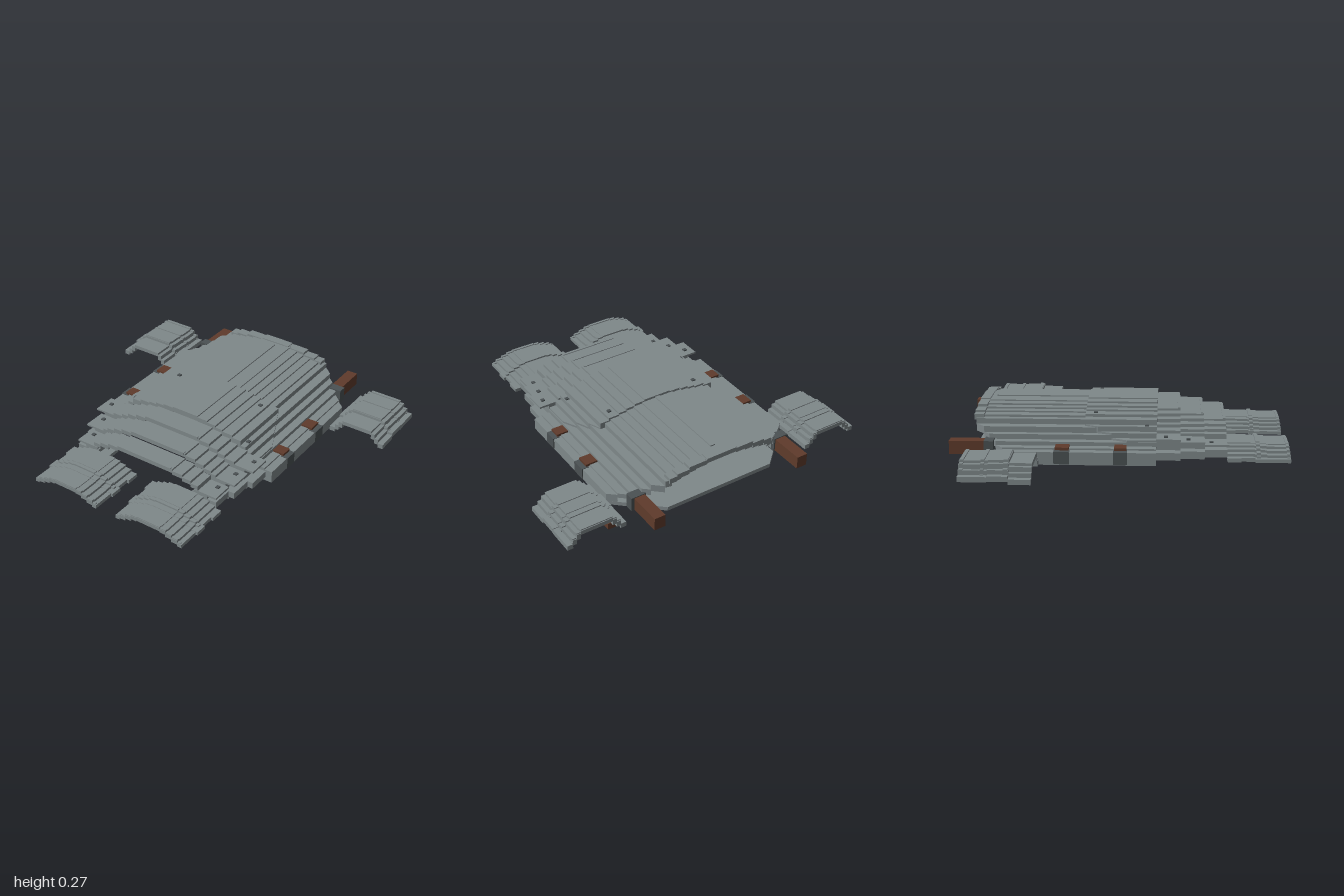
import * as THREE from 'three';
import { mergeGeometries } from 'three/addons/utils/BufferGeometryUtils.js';

const mat = (name, color) => {
  const m = new THREE.MeshStandardMaterial({ color });
  m.name = name;
  return m;
};

export function createModel() {
  const root = new THREE.Group();
  root.name = 'plateArmour';
  const steel = mat('steel', 0x7f888a);
  const iron = mat('darkIron', 0x4b5153);
  const leather = mat('leather', 0x5f3b2b);

  const add = (name, geo, m) => {
    const mesh = new THREE.Mesh(geo, m);
    mesh.name = name;
    root.add(mesh);
    return mesh;
  };
  // Box from its limits
  const box = (name, m, x0, x1, y0, y1, z0, z1) =>
    add(name, new THREE.BoxGeometry(x1 - x0, y1 - y0, z1 - z0), m)
      .position.set((x0 + x1) / 2, (y0 + y1) / 2, (z0 + z1) / 2);
  // The same box on both sides of the body
  const pair = (name, m, x0, x1, ...rest) => {
    box(name + 'Left', m, x0, x1, ...rest);
    box(name + 'Right', m, -x1, -x0, ...rest);
  };
  // Flat plate from an outline in x and z
  const slab = (pts, y0, y1) => {
    const shape = new THREE.Shape(pts.map(([x, z]) => new THREE.Vector2(x, -z)));
    return new THREE.ExtrudeGeometry(shape, { depth: y1 - y0, bevelEnabled: false })
      .rotateX(-Math.PI / 2).translate(0, y0, 0);
  };
  // Stepped arch: steps are [outer offset, top height] going outward from cx;
  // back is the rear limit as a function of the offset
  const arch = (steps, back, front, { cx = 0, thick = 0.03, end = 0, sides = [1, -1] } = {}) => {
    const parts = [];
    for (const s of sides) {
      let x0 = 0;
      steps.forEach(([x1, top], i) => {
        const next = i < steps.length - 1 ? steps[i + 1][1] - 0.01 : end;
        const low = Math.min(top - thick, next);
        parts.push(slab([
          [cx + s * x0, back(x0)], [cx + s * x1, back(x1)],
          [cx + s * x1, front], [cx + s * x0, front],
        ], low, top));
        x0 = x1;
      });
    }
    return mergeGeometries(parts);
  };

  // Back plate with cut shoulder corners
  add('backPlate', slab([
    [-0.62, 0.21], [0.62, 0.21], [0.62, -0.63], [0.36, -0.865],
    [-0.36, -0.865], [-0.62, -0.63],
  ], 0, 0.025), steel);

  // Breastplate of lengthwise ribs
  const shoulder = x => (x <= 0.36 ? -0.86 : -0.86 + (x - 0.36) * 0.885);
  const ribs = [
    [0.11, 0.253], [0.17, 0.246], [0.22, 0.236], [0.27, 0.226], [0.33, 0.217],
    [0.37, 0.204], [0.43, 0.172], [0.47, 0.138], [0.52, 0.108], [0.57, 0.085], [0.62, 0.075],
  ];
  add('breastplate', arch(ribs, shoulder, 0.21), steel);
  box('centreRidge', steel, -0.015, 0.015, 0.24, 0.26, -0.78, -0.2);

  // Raised lower breastplate, widening to the waist
  const flare = x => (x <= 0.4 ? -0.21 : Math.min(0.04, -0.21 + (x - 0.4) * 2.3));
  add('lowerBreastplate', arch([
    [0.09, 0.267], [0.16, 0.26], [0.22, 0.25], [0.27, 0.238], [0.34, 0.228],
    [0.4, 0.212], [0.435, 0.18], [0.47, 0.15], [0.515, 0.12],
  ], flare, 0.213, { end: 0.09 }), steel);

  // Raised collar at the neck
  add('collar', arch([[0.1, 0.259], [0.22, 0.252], [0.3, 0.236], [0.35, 0.224]],
    () => -0.868, -0.81, { end: 0.19 }), steel);

  // Three waist lames: arched top, side fin and lower side plate
  const lames = [
    { z0: 0.21, z1: 0.35, w: 0.578, top: 0.23, fin: 0.145 },
    { z0: 0.35, z1: 0.49, w: 0.543, top: 0.2, fin: 0.12 },
    { z0: 0.49, z1: 0.62, w: 0.505, top: 0.168, fin: 0.095 },
  ];
  lames.forEach(({ z0, z1, w, top, fin }, i) => {
    const k = (top - fin) / 0.085;
    add('waistLame' + i, arch([
      [0.2, top], [0.27, top - 0.012 * k], [0.33, top - 0.03 * k],
      [0.38, top - 0.05 * k], [w - 0.13, top - 0.068 * k],
    ], () => z0, z1, { end: fin - 0.02, thick: 0.025 }), steel);
    box('waistTrim' + i, steel, -0.19, 0.19, top - 0.01, top + 0.004, z1 - 0.015, z1 + 0.002);
    pair('waistFin' + i, steel, w - 0.15, w, fin - 0.012, fin, z0, z1);
    pair('waistInnerWall' + i, steel, w - 0.16, w - 0.06, 0.06, fin - 0.012, z0, z1);
    pair('waistSidePlate' + i, steel, w - 0.12, w, 0.025, 0.065, z0, z1);
    pair('waistSideFoot' + i, steel, w - 0.2, w - 0.04, 0.008, 0.03, z0, z1);
  });

  for (const s of [1, -1]) {
    const side = s > 0 ? 'Left' : 'Right';

    // Thigh guards
    const guard = (name, z0, z1, lift, grow) => add(name + side, arch([
      [0.08, 0.075 + lift], [0.12, 0.07 + lift], [0.16, 0.057 + lift],
      [0.2, 0.042 + lift], [0.228 + grow, 0.026 + lift],
    ], () => z0, z1, { cx: s * 0.3, thick: 0.022, end: 0.004 }), steel);
    guard('thighGuardTop', 0.62, 0.7, 0, 0.014);
    guard('thighGuardUpper', 0.7, 0.78, 0, 0);
    guard('thighGuardMiddle', 0.78, 0.85, -0.003, 0.014);
    guard('thighGuardLower', 0.85, 0.985, -0.006, 0);
    guard('thighGuardRidge', 0.79, 0.812, 0.007, -0.008);
    guard('thighGuardHem', 0.965, 0.982, -0.001, -0.008);

    // Shoulder guards, arched about their own middle
    const pauldron = (name, z0, z1, lift, inset = 0) => {
      const outer = [
        [0.1, 0.112], [0.125, 0.097], [0.15, 0.07], [0.185 - inset, 0.045],
      ].map(([x, y]) => [x, y + lift]);
      add(name + side, arch(outer, () => z0, z1,
        { cx: s * 0.815, thick: 0.025, end: 0.015 + lift }), steel);
    };
    pauldron('shoulderGuardRear', -0.86, -0.7, 0);
    pauldron('shoulderGuardMiddle', -0.7, -0.585, 0.004);
    pauldron('shoulderGuardFront', -0.585, -0.46, -0.012);
    pauldron('shoulderGuardRearRim', -0.855, -0.835, 0.006, 0.03);
    pauldron('shoulderGuardRidge', -0.74, -0.72, 0.006, 0.03);
    pauldron('shoulderGuardFrontRim', -0.615, -0.59, 0.009, 0.03);
  }

  // Leather straps and iron buckles
  pair('shoulderStrap', leather, 0.46, 0.53, 0.03, 0.11, -0.99, -0.76);
  pair('shoulderBuckle', iron, 0.452, 0.548, 0.025, 0.115, -0.785, -0.73);
  pair('armStrap', leather, 0.67, 0.722, 0, 0.04, -0.82, -0.69);
  pair('thighStrap', leather, 0.272, 0.328, 0, 0.036, 0.66, 0.79);
  for (const [i, z0, z1] of [[0, -0.37, -0.29], [1, -0.03, 0.04]]) {
    pair('sideStrap' + i, leather, 0.515, 0.595, 0.08, 0.095, z0, z1);
    pair('sideBuckle' + i, iron, 0.58, 0.626, 0.006, 0.078, z0 - 0.005, z1 + 0.005);
  }

  // Rivets
  const rivets = [
    [0.305, 0.228, -0.15], [0.42, 0.18, 0.155], [0.53, 0.145, 0.265],
    [0.49, 0.12, 0.395], [0.457, 0.095, 0.53],
  ];
  rivets.forEach(([x, y, z], i) =>
    pair('rivet' + i, iron, x - 0.011, x + 0.011, y - 0.01, y + 0.007, z - 0.011, z + 0.011));

  return root;
}
